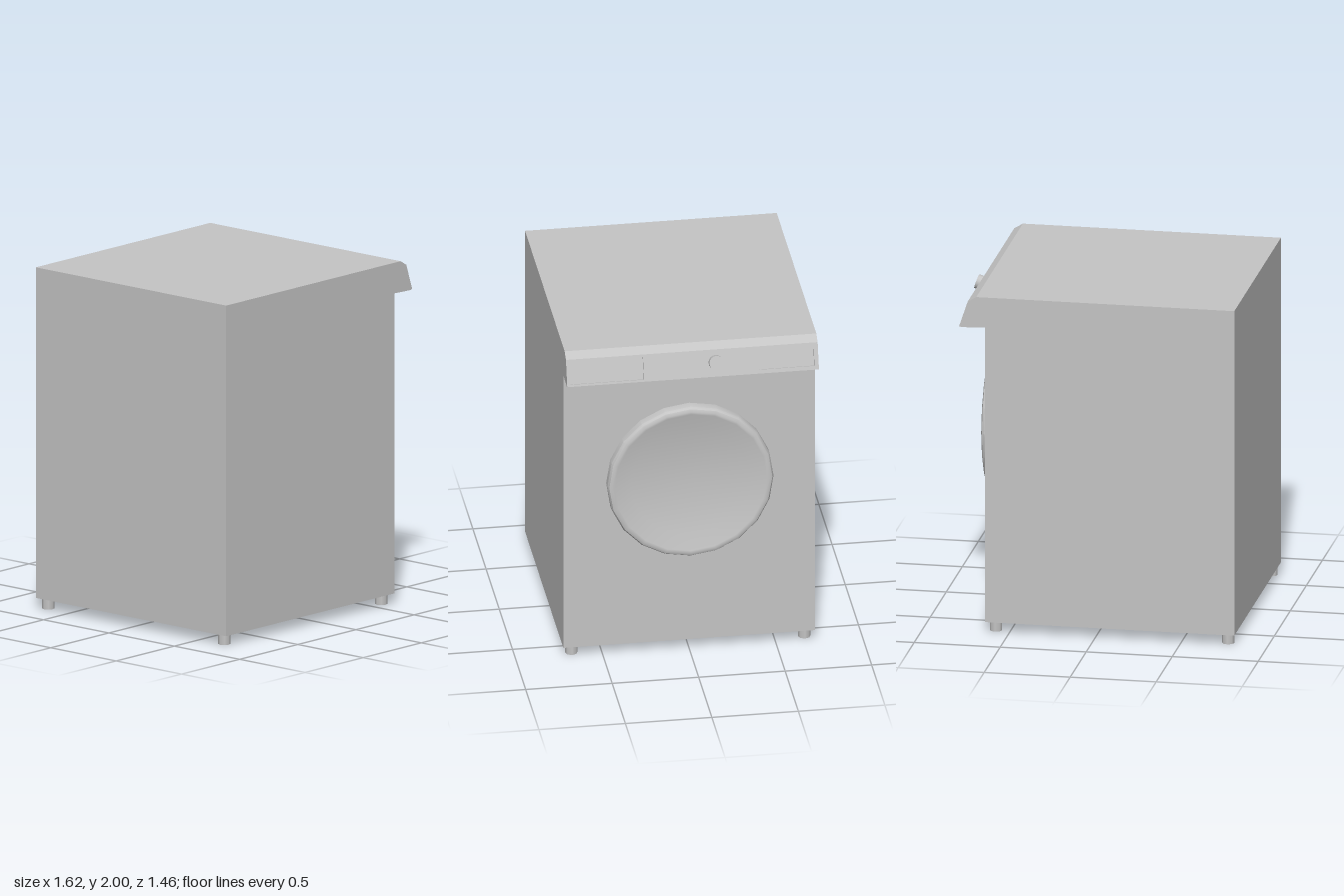
import * as THREE from 'three';
import { toCreasedNormals } from 'three/addons/utils/BufferGeometryUtils.js';

export function createModel() {
  const model = new THREE.Group();
  model.name = 'washingMachine';
  const grey = new THREE.MeshStandardMaterial({ color: 0xc4c4c4 });
  grey.name = 'applianceGrey';

  const add = (parent, name, geometry) => {
    const mesh = new THREE.Mesh(geometry, grey);
    mesh.name = name;
    parent.add(mesh);
    return mesh;
  };

  // Sloping control panel: top and bottom edges in the side profile
  const top = new THREE.Vector2(0.74, 1.97);
  const bottom = new THREE.Vector2(0.79, 1.82);
  const up = top.clone().sub(bottom);
  const panelHeight = up.length();
  up.normalize();
  const normal = new THREE.Vector2(up.y, -up.x);
  const recess = 0.014;
  const topBack = top.clone().addScaledVector(normal, -recess);
  const bottomBack = bottom.clone().addScaledVector(normal, -recess);

  // Cabinet: one side profile extruded across the width
  const profile = new THREE.Shape([
    new THREE.Vector2(-0.81, 0.06), new THREE.Vector2(0.64, 0.06),
    new THREE.Vector2(0.64, 1.82), bottomBack, topBack, top,
    new THREE.Vector2(0.69, 2), new THREE.Vector2(-0.81, 2),
  ]);
  const cabinet = new THREE.ExtrudeGeometry(profile, { depth: 1.455, bevelEnabled: false });
  add(model, 'cabinet', cabinet.translate(0, 0, -0.7275));

  // Control panel group: local x runs along the panel, y up the slope, z outward
  const panel = new THREE.Group();
  panel.name = 'controlPanel';
  const basis = new THREE.Matrix4().makeBasis(
    new THREE.Vector3(0, 0, -1),
    new THREE.Vector3(up.x, up.y, 0),
    new THREE.Vector3(normal.x, normal.y, 0),
  );
  panel.quaternion.setFromRotationMatrix(basis);
  panel.position.set((top.x + bottom.x) / 2, (top.y + bottom.y) / 2, 0);
  model.add(panel);

  // Fascia with openings for the drawer and the display
  const rect = (Type, x0, x1, y0, y1) => new Type([
    new THREE.Vector2(x0, y0), new THREE.Vector2(x1, y0),
    new THREE.Vector2(x1, y1), new THREE.Vector2(x0, y1),
  ]);
  const fascia = rect(THREE.Shape, -0.7275, 0.7275, -panelHeight / 2, panelHeight / 2);
  fascia.holes.push(
    rect(THREE.Path, -0.707, -0.283, -0.067, 0.064),
    rect(THREE.Path, 0.385, 0.703, -0.057, 0.057),
  );
  const fasciaGeometry = new THREE.ExtrudeGeometry(fascia, { depth: recess, bevelEnabled: false });
  add(panel, 'fascia', fasciaGeometry.translate(0, 0, -recess));

  // Programme knob
  const knob = new THREE.CylinderGeometry(0.042, 0.042, 0.04, 16).rotateX(Math.PI / 2);
  add(panel, 'knob', knob).position.set(0.135, 0.005, 0.016);

  // Door: rounded rim sloping in to a flat window
  const rim = [[0.48, 0], [0.48, 0.05], [0.471, 0.065], [0.455, 0.072], [0.44, 0.07], [0.345, 0.04], [0, 0.04]];
  const doorGeometry = new THREE.LatheGeometry(rim.map(([r, h]) => new THREE.Vector2(r, h)), 20);
  const door = add(model, 'door', toCreasedNormals(doorGeometry.rotateZ(-Math.PI / 2), 0.6));
  door.position.set(0.64, 1.105, 0);

  // Four feet
  for (const x of [-0.765, 0.585]) {
    for (const z of [-0.673, 0.673]) {
      add(model, 'foot', new THREE.CylinderGeometry(0.036, 0.036, 0.06, 8)).position.set(x, 0.03, z);
    }
  }
  return model;
}
